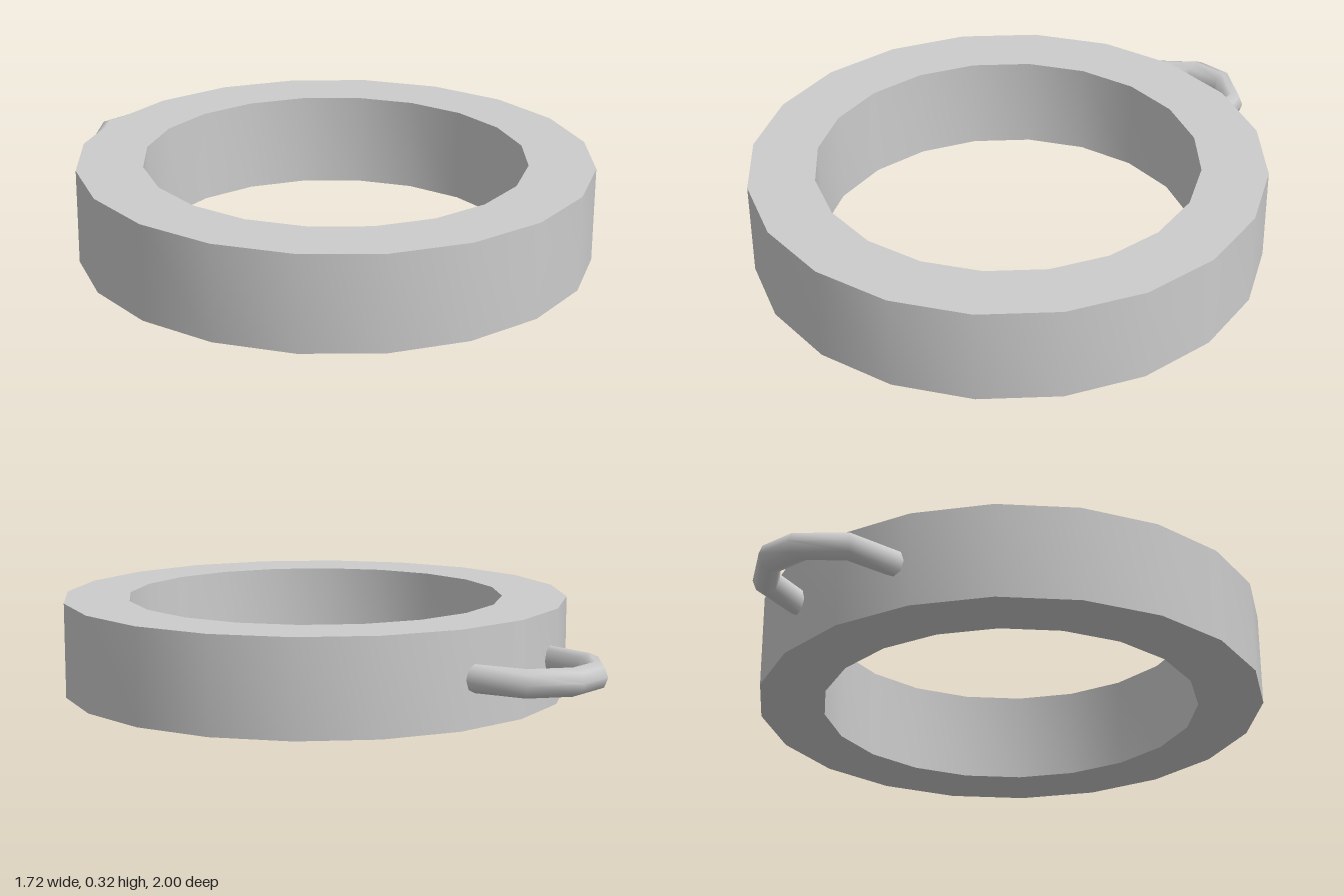
import * as THREE from 'three';
import { toCreasedNormals } from 'three/addons/utils/BufferGeometryUtils.js';

const material = new THREE.MeshStandardMaterial({ color: 0xcccccc });

// Square-section ring with 20 sides
function makeRing(outer, inner, height) {
  const profile = [[outer, 0], [outer, height], [inner, height], [inner, 0], [outer, 0]]
    .map(([x, y]) => new THREE.Vector2(x, y));
  const geometry = toCreasedNormals(new THREE.LatheGeometry(profile, 20), 0.6);
  const mesh = new THREE.Mesh(geometry, material);
  mesh.name = 'ring';
  return mesh;
}

// Rounded loop swept through mirrored cross-sections: x, z, outward direction, half width
function makeLoop() {
  const half = [
    [0.222, -0.62, 0, 0.035],
    [0.1775, -0.857, 0.70, 0.0425],
    [0.063, -0.952, Math.PI / 2, 0.048],
  ];
  const mirrored = half.map(([x, z, a, w]) => [-x, z, Math.PI - a, w]).reverse();
  const sections = [...half, ...mirrored];
  const sides = 8, halfHeight = 0.046, centreY = 0.16;
  const positions = [], index = [];
  sections.forEach(([x, z, angle, w], i) => {
    for (let j = 0; j < sides; j++) {
      const t = (j / sides) * Math.PI * 2;
      const out = Math.cos(t) * w;
      positions.push(x + Math.cos(angle) * out, centreY + Math.sin(t) * halfHeight, z - Math.sin(angle) * out);
      if (i < sections.length - 1) {
        const a = i * sides + j, b = i * sides + (j + 1) % sides;
        index.push(a, a + sides, b, b, a + sides, b + sides);
      }
    }
  });
  // Close both ends inside the ring
  const last = (sections.length - 1) * sides;
  for (let j = 1; j < sides - 1; j++) {
    index.push(0, j, j + 1, last, last + j + 1, last + j);
  }
  const geometry = new THREE.BufferGeometry();
  geometry.setAttribute('position', new THREE.Float32BufferAttribute(positions, 3));
  geometry.setIndex(index);
  const mesh = new THREE.Mesh(toCreasedNormals(geometry, 1.0), material);
  mesh.name = 'hangingLoop';
  return mesh;
}

export function createModel() {
  const group = new THREE.Group();
  group.name = 'ringWithLoop';
  const ring = makeRing(0.86, 0.64, 0.32);
  ring.position.z = 0.14;
  group.add(ring, makeLoop());
  return group;
}
